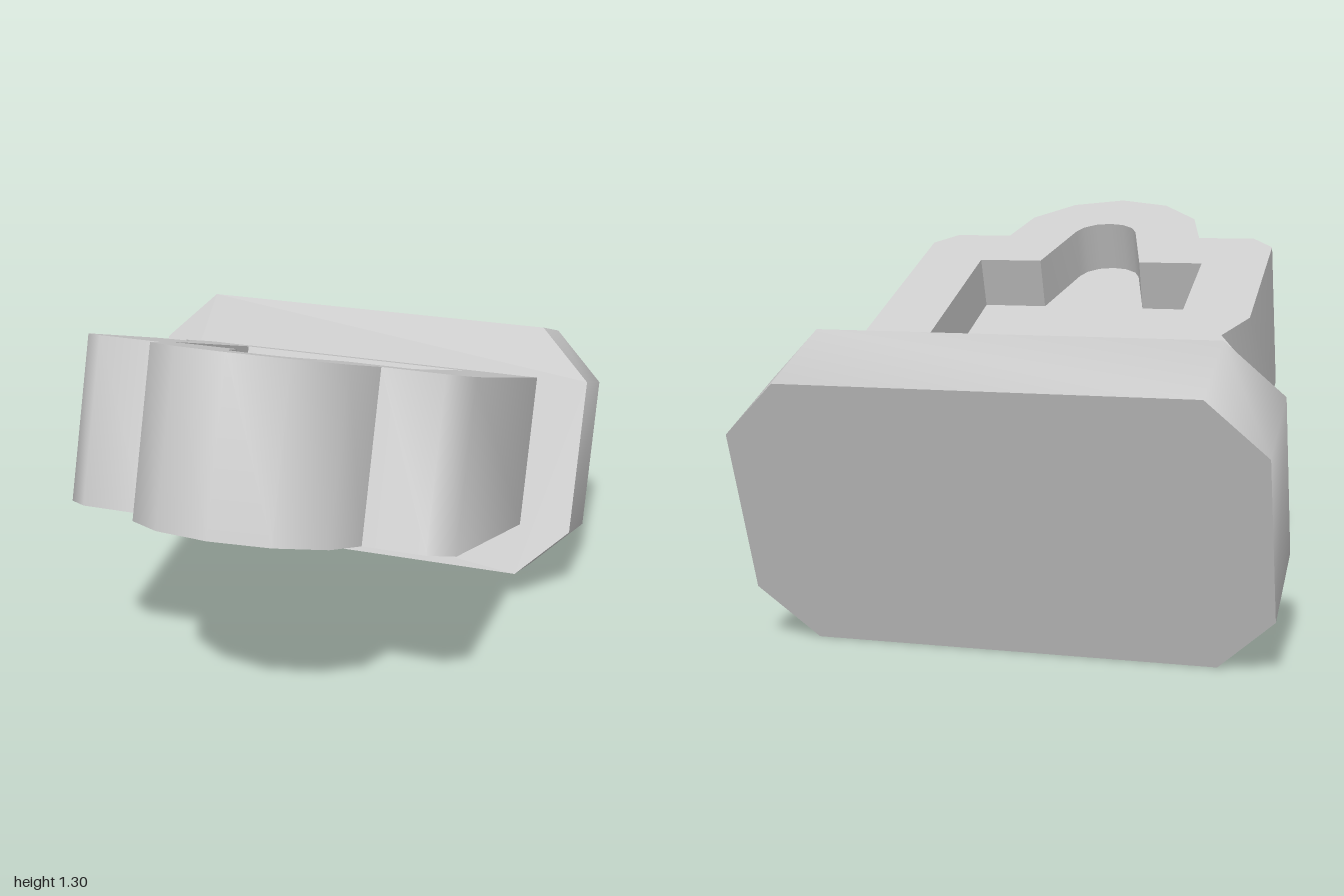
import * as THREE from 'three';
import { toCreasedNormals } from 'three/addons/utils/BufferGeometryUtils.js';

const TILT = THREE.MathUtils.degToRad(20);
const CREASE = 0.85;

// closed outline: the +x half from back to front, then its mirror image
const mirrored = (half) => [
  ...half,
  ...half.filter(([x]) => x > 0).reverse().map(([x, y]) => [-x, y]),
].map(([x, y]) => new THREE.Vector2(x, y));

const extrude = (shape, depth) =>
  new THREE.ExtrudeGeometry(shape, { depth, bevelEnabled: false });

// plan outline (x, z) extruded upwards between two heights
const slab = (shape, bottom, top) =>
  extrude(shape, top - bottom).rotateX(Math.PI / 2).translate(0, top, 0);

export function createModel() {
  const model = new THREE.Group();
  model.name = 'connectorPlug';
  const tilted = new THREE.Group();
  tilted.name = 'tiltedPlug';
  tilted.rotation.x = -TILT;
  model.add(tilted);

  const material = new THREE.MeshStandardMaterial({ color: 0xcccccc });
  const add = (name, geometry) => {
    const mesh = new THREE.Mesh(toCreasedNormals(geometry, CREASE), material);
    mesh.name = name;
    tilted.add(mesh);
  };

  // octagonal flange at the back
  const yLow = 0.239, yHigh = 1.124, cut = 0.175;
  const flange = new THREE.Shape(mirrored([
    [0.62, yLow], [0.795, yLow + cut], [0.795, yHigh - cut], [0.62, yHigh],
  ]));
  add('flange', extrude(flange, 0.354).translate(0, 0, -0.657));

  // body outline with ears, rounded nose and a V notch in the right side
  const outline = mirrored([
    [0.618, -0.303], [0.618, 0.786], [0.545, 0.86], [0.35, 0.86],
    [0.35, 0.862], [0.303, 1.036], [0.175, 1.165], [0, 1.215],
  ].filter(([x, z]) => z !== 0.862));
  outline.splice(outline.length - 1, 0,
    new THREE.Vector2(-0.618, 0.22),
    new THREE.Vector2(-0.547, 0.09),
    new THREE.Vector2(-0.618, -0.04));

  // window outline: rectangle with a tapering, round-ended slot
  const windowPoints = mirrored([
    [0.395, -0.083], [0.395, 0.638], [0.177, 0.638], [0.11, 0.905],
    [0.09, 0.943], [0.05, 0.972], [0, 0.982],
  ]);
  const body = new THREE.Shape(outline);
  body.holes.push(new THREE.Path(windowPoints));
  add('body', slab(body, 0.419, 0.946));

  // web that leaves a recess above and below
  add('recessFloor', slab(new THREE.Shape(windowPoints), 0.595, 0.77));

  return model;
}
